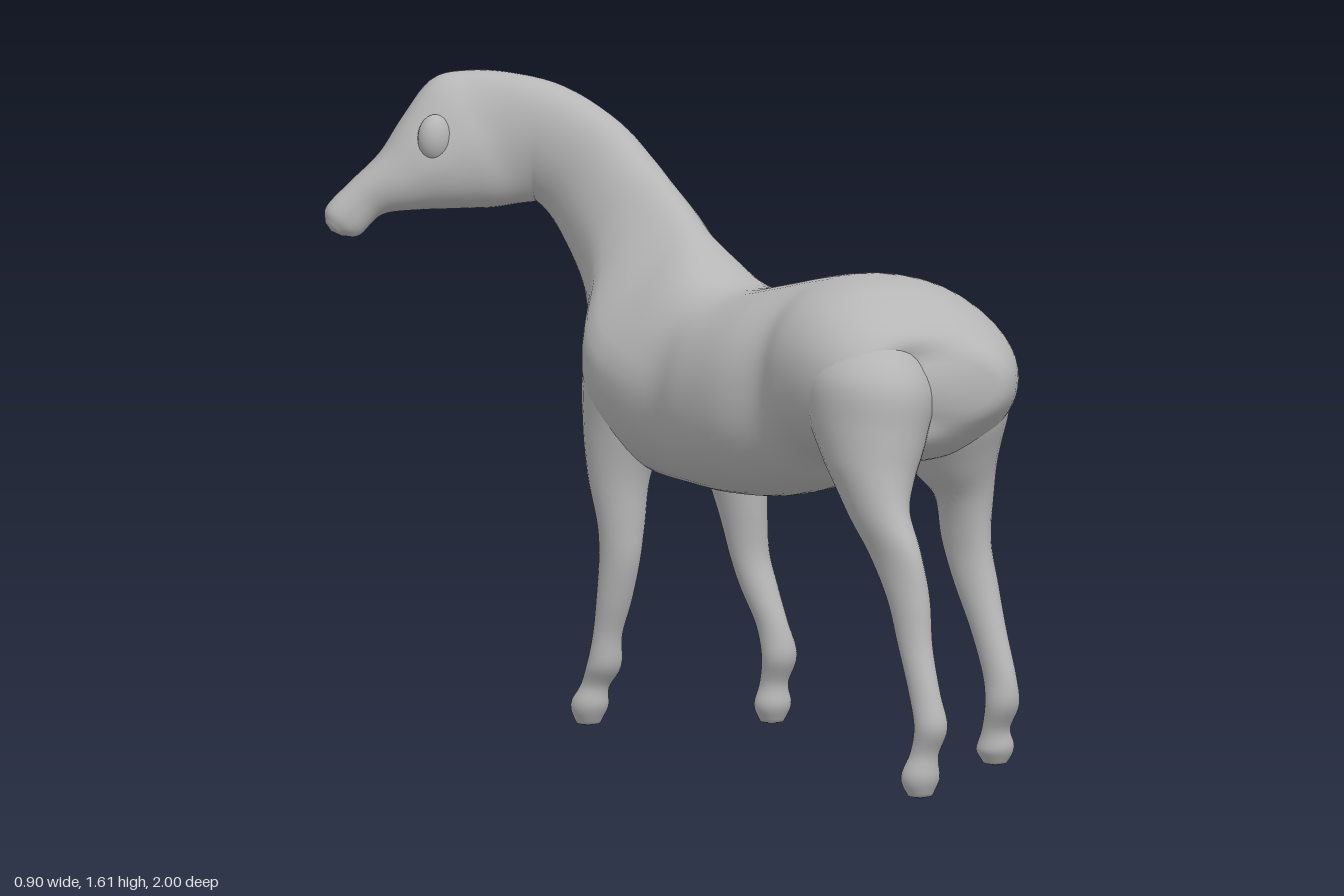
import * as THREE from 'three';

const V = (x, y, z) => new THREE.Vector3(x, y, z);

// Smooth skin through cross-sections [topX,topY,topZ, bottomX,bottomY,bottomZ, halfWidth, topTaper]
function loft(rows, steps, sides = 36, power = 2.2) {
  const spline = (f) => new THREE.CatmullRomCurve3(rows.map(f), false, 'catmullrom', 0.5);
  const tops = spline((r) => V(r[0], r[1], r[2]));
  const bottoms = spline((r) => V(r[3], r[4], r[5]));
  const sizes = spline((r) => V(r[6], r[7] || 0, 0));
  const n = (rows.length - 1) * steps;
  const mid = (t) => tops.getPoint(t).add(bottoms.getPoint(t)).multiplyScalar(0.5);
  const bend = (v) => Math.sign(v) * Math.pow(Math.abs(v), 2 / power);
  const pos = [], idx = [];
  for (let i = 0; i <= n; i++) {
    const t = i / n;
    const c = mid(t), up = tops.getPoint(t).sub(c), size = sizes.getPoint(t);
    const dir = mid(Math.min(1, t + 0.01)).sub(mid(Math.max(0, t - 0.01)));
    const side = up.clone().cross(dir).normalize();
    for (let j = 0; j < sides; j++) {
      const a = (j / sides) * Math.PI * 2, s = bend(Math.sin(a));
      const w = size.x * bend(Math.cos(a)) * (1 - size.y * Math.max(0, s));
      const p = c.clone().addScaledVector(up, s).addScaledVector(side, w);
      pos.push(p.x, p.y, p.z);
      if (i < n) {
        const p0 = i * sides + j, p1 = i * sides + (j + 1) % sides;
        idx.push(p0, p1, p0 + sides, p1, p1 + sides, p0 + sides);
      }
    }
  }
  // closed ends, pushed out slightly so they look rounded
  for (const end of [0, 1]) {
    const c = mid(end), inner = mid(end ? 0.99 : 0.01);
    c.add(c.clone().sub(inner).normalize().multiplyScalar(0.008));
    const k = pos.length / 3, base = end ? n * sides : 0;
    pos.push(c.x, c.y, c.z);
    for (let j = 0; j < sides; j++) {
      const a = base + j, b = base + (j + 1) % sides;
      if (end) idx.push(a, b, k); else idx.push(b, a, k);
    }
  }
  const g = new THREE.BufferGeometry();
  g.setAttribute('position', new THREE.Float32BufferAttribute(pos, 3));
  g.setIndex(idx);
  g.computeVertexNormals();
  return g;
}

// Leg from level sections [x, y, z, halfWidthX, halfDepthZ], top to hoof
const leg = (rows) => loft(rows.map(([x, y, z, rx, rz]) => [x, y, z + rz, x, y, z - rz, rx]), 5, 28, 2);

export function createModel() {
  const group = new THREE.Group();
  const grey = new THREE.MeshStandardMaterial({ color: 0xb6b6b6 });
  grey.name = 'plain grey';
  const add = (name, geometry) => {
    const mesh = new THREE.Mesh(geometry, grey);
    mesh.name = name;
    group.add(mesh);
    return mesh;
  };

  // Rump, barrel and chest
  const trunk = [
    [0.14, 1.05, 0.795, 0.14, 0.95, 0.795, 0.10],
    [0.15, 1.135, 0.765, 0.15, 0.87, 0.765, 0.215],
    [0.155, 1.20, 0.68, 0.155, 0.81, 0.69, 0.27],
    [0.155, 1.24, 0.56, 0.155, 0.79, 0.58, 0.29],
    [0.155, 1.245, 0.44, 0.155, 0.77, 0.44, 0.28],
    [0.155, 1.225, 0.32, 0.155, 0.70, 0.33, 0.255],
    [0.145, 1.19, 0.18, 0.15, 0.655, 0.18, 0.28],
    [0.14, 1.155, 0.02, 0.14, 0.64, 0.02, 0.268, 0.05],
    [0.135, 1.175, -0.08, 0.135, 0.64, -0.12, 0.24, 0.15],
    [0.13, 1.24, -0.17, 0.13, 0.655, -0.28, 0.25, 0.4],
    [0.13, 1.28, -0.22, 0.13, 0.71, -0.41, 0.25, 0.55],
    [0.13, 1.33, -0.28, 0.13, 0.85, -0.49, 0.21, 0.5],
  ];
  // Neck curving to one side, then head down to the muzzle
  const neckAndHead = [
    [0.125, 1.38, -0.34, 0.115, 1.00, -0.535, 0.155, 0.4],
    [0.115, 1.43, -0.40, 0.09, 1.13, -0.59, 0.12, 0.2],
    [0.095, 1.51, -0.50, 0.065, 1.24, -0.67, 0.10, 0.15],
    [0.04, 1.585, -0.64, 0.03, 1.29, -0.71, 0.095, 0.1],
    [-0.04, 1.615, -0.74, 0.01, 1.29, -0.72, 0.09, 0.1],
    [-0.12, 1.62, -0.82, -0.02, 1.285, -0.745, 0.098, 0.15],
    [-0.195, 1.60, -0.865, -0.075, 1.275, -0.785, 0.112, 0.25],
    [-0.265, 1.51, -0.89, -0.15, 1.275, -0.825, 0.108, 0.2],
    [-0.32, 1.42, -0.915, -0.245, 1.275, -0.87, 0.082, 0.1],
    [-0.385, 1.35, -0.95, -0.32, 1.265, -0.91, 0.054],
    [-0.44, 1.29, -0.975, -0.37, 1.215, -0.935, 0.045],
    [-0.445, 1.25, -0.975, -0.41, 1.215, -0.955, 0.028],
  ];
  add('body', loft([...trunk, ...neckAndHead], 5, 48));

  // Soft brows sunk into both sides of the head
  for (const s of [-1, 1]) {
    const brow = add('brow', new THREE.SphereGeometry(1, 20, 14));
    brow.position.set(-0.21 + s * 0.034, 1.465, -0.855 - s * 0.064);
    brow.scale.set(0.045, 0.06, 0.038);
  }

  // Hind legs with full thighs
  add('hindLegPlusX', leg([
    [0.27, 1.14, 0.61, 0.09, 0.10], [0.285, 1.02, 0.605, 0.155, 0.17],
    [0.298, 0.90, 0.595, 0.145, 0.168], [0.318, 0.80, 0.587, 0.112, 0.135],
    [0.343, 0.70, 0.60, 0.07, 0.087], [0.35, 0.58, 0.60, 0.05, 0.08],
    [0.355, 0.47, 0.635, 0.048, 0.067], [0.355, 0.36, 0.685, 0.04, 0.054],
    [0.355, 0.25, 0.73, 0.037, 0.05], [0.355, 0.18, 0.74, 0.042, 0.045],
    [0.355, 0.115, 0.715, 0.036, 0.036], [0.36, 0.065, 0.705, 0.048, 0.048],
    [0.36, 0.028, 0.705, 0.03, 0.03],
  ]));
  add('hindLegMinusX', leg([
    [0.04, 1.14, 0.62, 0.09, 0.10], [0.023, 1.02, 0.635, 0.155, 0.17],
    [0.002, 0.90, 0.65, 0.142, 0.162], [-0.022, 0.80, 0.69, 0.108, 0.125],
    [-0.037, 0.71, 0.74, 0.07, 0.098], [-0.03, 0.61, 0.80, 0.05, 0.09],
    [-0.025, 0.50, 0.85, 0.047, 0.065], [-0.03, 0.385, 0.885, 0.04, 0.05],
    [-0.035, 0.27, 0.93, 0.037, 0.045], [-0.035, 0.19, 0.955, 0.042, 0.043],
    [-0.04, 0.12, 0.935, 0.036, 0.036], [-0.045, 0.06, 0.925, 0.05, 0.047],
    [-0.045, 0.015, 0.925, 0.032, 0.03],
  ]));

  // Front legs with shoulders
  add('frontLegPlusX', leg([
    [0.22, 1.04, -0.31, 0.07, 0.08], [0.245, 0.92, -0.305, 0.12, 0.13],
    [0.262, 0.78, -0.28, 0.105, 0.12], [0.28, 0.66, -0.247, 0.08, 0.087],
    [0.29, 0.55, -0.23, 0.06, 0.067],
    [0.30, 0.44, -0.215, 0.05, 0.05], [0.31, 0.36, -0.19, 0.045, 0.05],
    [0.32, 0.27, -0.15, 0.038, 0.045], [0.33, 0.19, -0.133, 0.045, 0.044],
    [0.33, 0.12, -0.155, 0.036, 0.036], [0.33, 0.065, -0.16, 0.048, 0.045],
    [0.33, 0.022, -0.163, 0.03, 0.03],
  ]));
  add('frontLegMinusX', leg([
    [0.05, 1.04, -0.31, 0.07, 0.08], [0.02, 0.92, -0.32, 0.12, 0.13],
    [0.005, 0.78, -0.34, 0.10, 0.115], [-0.01, 0.65, -0.345, 0.077, 0.082],
    [-0.015, 0.53, -0.33, 0.06, 0.06],
    [-0.02, 0.44, -0.33, 0.05, 0.055], [-0.025, 0.34, -0.345, 0.045, 0.045],
    [-0.03, 0.25, -0.365, 0.038, 0.036], [-0.03, 0.17, -0.38, 0.045, 0.042],
    [-0.035, 0.115, -0.41, 0.036, 0.036], [-0.04, 0.065, -0.425, 0.048, 0.047],
    [-0.04, 0.02, -0.43, 0.03, 0.03],
  ]));
  return group;
}
